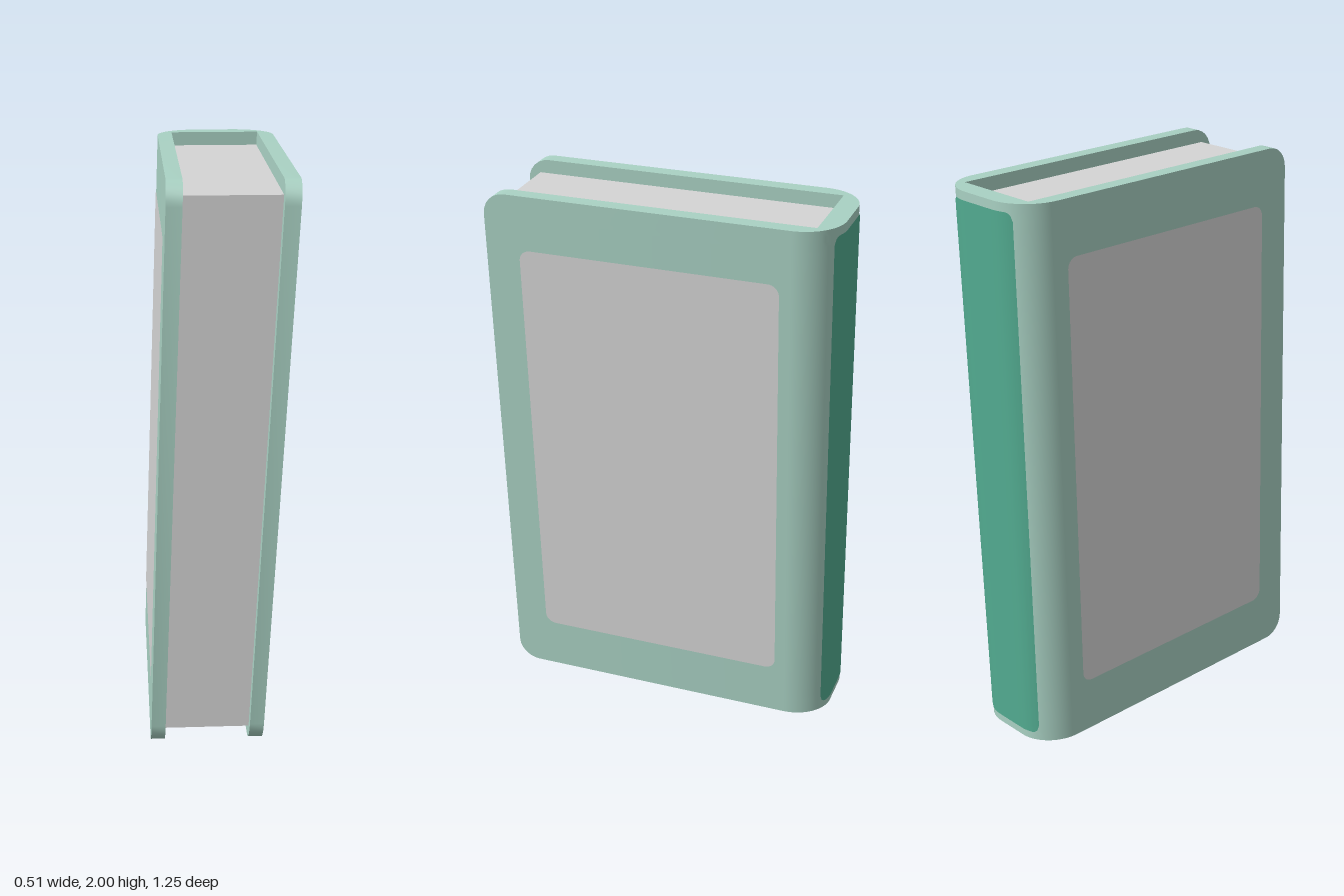
import * as THREE from 'three';
import { toCreasedNormals } from 'three/addons/utils/BufferGeometryUtils.js';

const HALF = 0.22, THICK = 0.055, DEPTH = 0.625; // half width at the top, board thickness, half depth
const ROUND = 0.15, FLAT = HALF - ROUND;         // spine corner radius, half of the flat spine
const INNER_BACK = -0.55, CORNER = 0.08, LIFT = 0.003;

// The book leans towards +x and widens slightly with height.
const lean = (x, y) => -0.0575 + 0.04625 * y + (x / HALF) * (0.1975 + 0.01125 * y);

// Moves every vertex by a rule, then leans it.
function shapeBy(geometry, rule) {
  const p = geometry.attributes.position;
  for (let i = 0; i < p.count; i++) {
    const [x, y, z] = rule(p.getX(i), p.getY(i), p.getZ(i));
    p.setXYZ(i, lean(x, y), y, z);
  }
  return toCreasedNormals(geometry, 0.5);
}

function roundedRect(w, h, r) {
  const s = new THREE.Shape();
  s.absarc(w / 2 - r, h / 2 - r, r, 0, Math.PI / 2);
  s.absarc(-w / 2 + r, h / 2 - r, r, Math.PI / 2, Math.PI);
  s.absarc(-w / 2 + r, -h / 2 + r, r, Math.PI, 1.5 * Math.PI);
  s.absarc(w / 2 - r, -h / 2 + r, r, 1.5 * Math.PI, 2 * Math.PI);
  return s;
}

// U-shaped cover, extruded upwards, with the free corners of the boards rounded.
function coverGeometry() {
  const s = new THREE.Shape();
  const inner = HALF - THICK;
  s.moveTo(HALF, -DEPTH);
  s.lineTo(HALF, DEPTH - ROUND);
  s.absarc(FLAT, DEPTH - ROUND, ROUND, 0, Math.PI / 2);
  s.absarc(-FLAT, DEPTH - ROUND, ROUND, Math.PI / 2, Math.PI);
  s.lineTo(-HALF, -DEPTH);
  s.lineTo(-inner, -DEPTH);
  s.lineTo(-inner, -INNER_BACK);
  s.lineTo(inner, -INNER_BACK);
  s.lineTo(inner, -DEPTH);
  s.closePath();

  const n = 6, levels = [];
  for (let k = 0; k <= n; k++) {
    const a = (k / n) * Math.PI / 2;
    levels.push([CORNER * (1 - Math.cos(a)), DEPTH - CORNER * (1 - Math.sin(a))]);
  }
  for (let k = n; k >= 0; k--) levels.push([2 - levels[k][0], levels[k][1]]);

  const steps = levels.length - 1;
  const g = new THREE.ExtrudeGeometry(s, { depth: steps, steps, bevelEnabled: false, curveSegments: 10 });
  return shapeBy(g, (x, y, z) => {
    const [height, front] = levels[Math.round(z)];
    return [x, height, y < -0.6 ? front : -y];
  });
}

// Thin band wrapped around the back of the spine.
function spineGeometry() {
  const half = FLAT + ROUND * 0.55, r = 0.03;
  return shapeBy(new THREE.PlaneGeometry(2 * half, 2, 40, 1), (x, y) => {
    const d = Math.max(0, Math.abs(x) - (half - r));
    const h = 0.97 - (r - Math.sqrt(Math.max(0, r * r - d * d)));
    const a = Math.max(0, Math.abs(x) - FLAT) / ROUND;
    const flat = Math.min(Math.abs(x), FLAT);
    const R = ROUND + LIFT;
    // x is mirrored so that the band faces backwards
    return [-Math.sign(x) * (flat + R * Math.sin(a)), 1 + Math.sign(y) * h, -DEPTH + ROUND - R * Math.cos(a)];
  });
}

export function createModel() {
  const group = new THREE.Group();
  const material = (name, color) => {
    const m = new THREE.MeshStandardMaterial({ color });
    m.name = name;
    return m;
  };
  const paleGreen = material('paleGreen', 0xa9d1c3);
  const deepGreen = material('deepGreen', 0x52ab90);
  const paper = material('paperGrey', 0xd5d5d5);
  const add = (name, geometry, mat) => {
    const mesh = new THREE.Mesh(geometry, mat);
    mesh.name = name;
    group.add(mesh);
  };

  add('cover', coverGeometry(), paleGreen);

  // Page block, set in from the cover's top, bottom and front
  const pages = new THREE.BoxGeometry(2 * (HALF - THICK), 1.9, 0.58 - INNER_BACK);
  add('pages', shapeBy(pages, (x, y, z) => [x, y + 1, z + (0.58 + INNER_BACK) / 2]), paper);

  add('spinePanel', spineGeometry(), deepGreen);

  // Rounded panels on both boards
  for (const side of [1, -1]) {
    const panel = new THREE.ShapeGeometry(roundedRect(0.94, 1.6, 0.04), 6);
    const geometry = shapeBy(panel, (x, y) => [side * (HALF + LIFT), y + 1, 0.03 - side * x]);
    add(side > 0 ? 'leftPanel' : 'rightPanel', geometry, paper);
  }
  return group;
}
